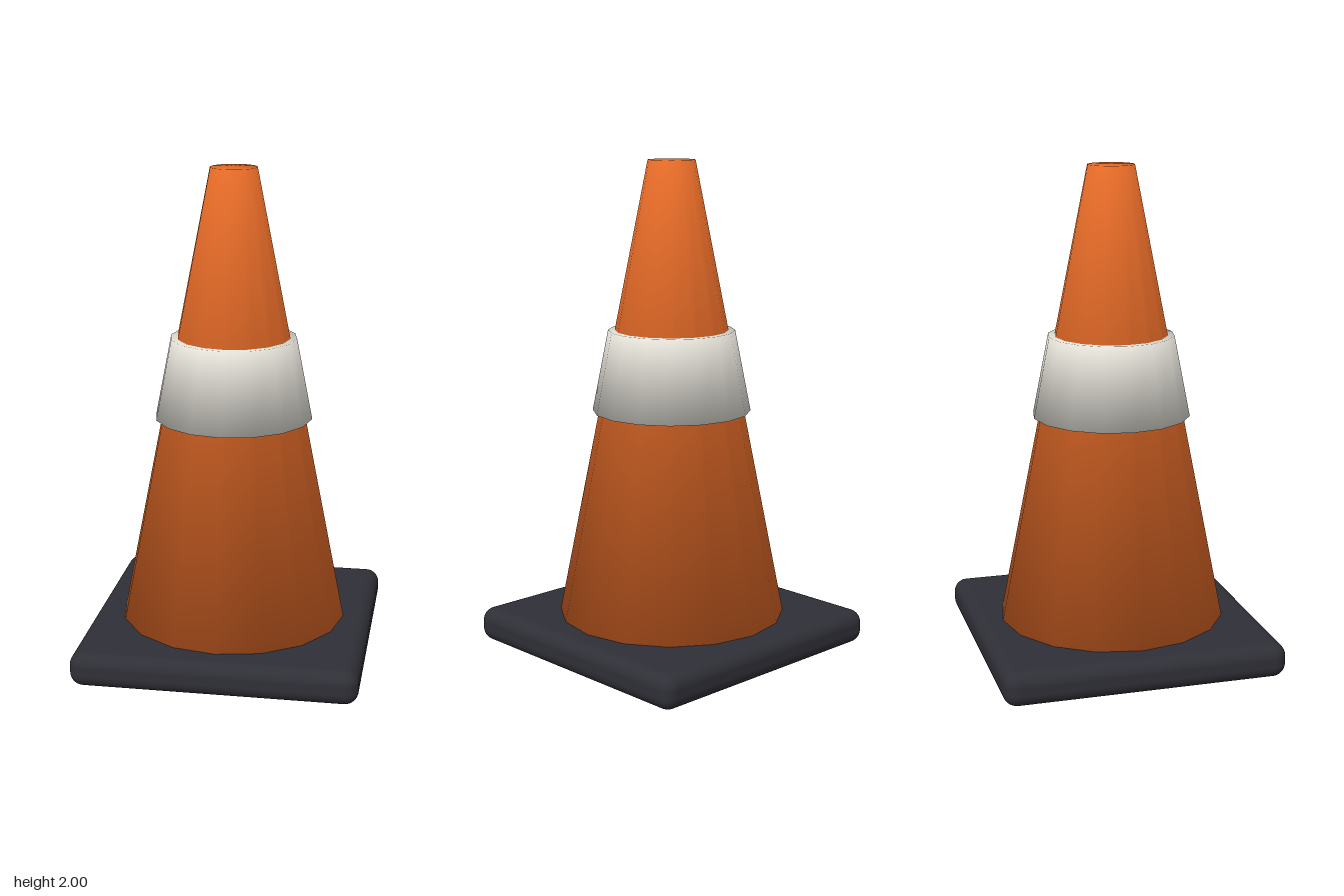
import * as THREE from 'three';
import { RoundedBoxGeometry } from 'three/addons/geometries/RoundedBoxGeometry.js';

const SIDES = 16;

function material(name, color) {
  const m = new THREE.MeshStandardMaterial({ color });
  m.name = name;
  return m;
}

// Capped 16-sided frustum whose shading is smooth over its rims
function softFrustum(rTop, rBottom, yBottom, yTop) {
  const g = new THREE.CylinderGeometry(rTop, rBottom, yTop - yBottom, SIDES);
  g.translate(0, (yBottom + yTop) / 2, 0);
  const p = g.attributes.position;
  const n = new THREE.Vector3();
  for (let i = 0; i < p.count; i++) {
    const r = Math.hypot(p.getX(i), p.getZ(i));
    if (r < 1e-4) continue; // cap centres keep their vertical normals
    const isTop = p.getY(i) > (yBottom + yTop) / 2;
    const up = isTop ? 0.73 : -0.57;
    const out = Math.sqrt(1 - up * up) / r;
    n.set(p.getX(i) * out, up, p.getZ(i) * out);
    g.attributes.normal.setXYZ(i, n.x, n.y, n.z);
  }
  return g;
}

export function createModel() {
  const group = new THREE.Group();
  group.name = 'trafficCone';

  const orange = material('orange', 0xe06826);
  const white = material('offWhite', 0xe2dfd6);
  const dark = material('darkRubber', 0x2f2f37);

  const add = (name, geometry, mat) => {
    const mesh = new THREE.Mesh(geometry, mat);
    mesh.name = name;
    group.add(mesh);
  };

  // Square rubber foot with rounded edges
  const foot = new RoundedBoxGeometry(1.15, 0.14, 1.15, 4, 0.055);
  foot.translate(0, 0.07, 0);
  add('base', foot, dark);

  // Tapered body and the wider reflective sleeve around it
  add('coneBody', softFrustum(0.095, 0.465, 0.135, 2), orange);
  add('reflectiveBand', softFrustum(0.257, 0.322, 0.99, 1.32), white);

  return group;
}
